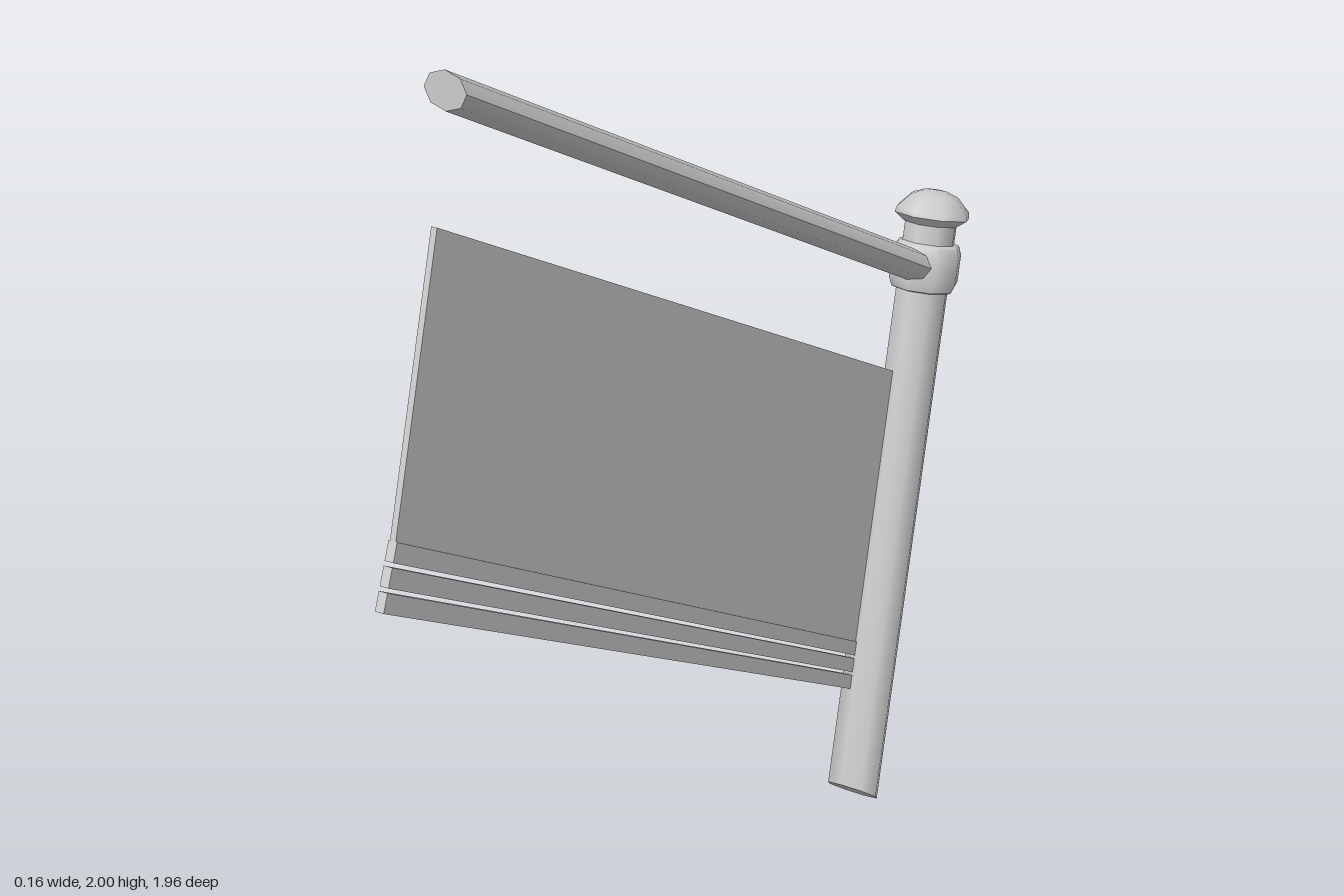
import * as THREE from 'three';
import { toCreasedNormals } from 'three/addons/utils/BufferGeometryUtils.js';

const SLOPE = 0.515;   // rise of the stair railing per unit of z
const TILT = -0.238;   // backward lean of the post
const PANEL_X = -0.021;

const grey = new THREE.MeshStandardMaterial({ color: 0xcccccc });

function part(name, geometry) {
  const mesh = new THREE.Mesh(geometry, grey);
  mesh.name = name;
  return mesh;
}

// Flat slab whose side outline is given as [z, y] corners
function slab(name, corners, thickness) {
  const shape = new THREE.Shape(corners.map(([z, y]) => new THREE.Vector2(z, y)));
  const geo = new THREE.ExtrudeGeometry(shape, { depth: thickness, bevelEnabled: false });
  geo.translate(0, 0, -thickness / 2).rotateY(-Math.PI / 2).translate(PANEL_X, 0, 0);
  return part(name, geo);
}

// Eight-sided turned piece from [radius, height] pairs
function turned(profile) {
  return new THREE.LatheGeometry(profile.map(([r, y]) => new THREE.Vector2(r, y)), 8);
}

function createPost() {
  const post = new THREE.Group();
  post.name = 'post';

  // Shaft with a slanted foot
  const shaft = turned([[0, 0], [0.055, 0], [0.055, 1.22], [0, 1.22]]);
  const p = shaft.attributes.position;
  for (let i = 0; i < p.count; i++) {
    if (p.getY(i) < 0.5) p.setY(i, 0.4 * p.getZ(i));
  }
  const collar = turned([[0.05, 1.062], [0.065, 1.066], [0.073, 1.085], [0.073, 1.14], [0.066, 1.158], [0.05, 1.164]]);
  const cap = turned([[0.045, 1.195], [0.06, 1.203], [0.079, 1.217], [0.077, 1.228], [0.05, 1.256], [0.025, 1.266], [0, 1.268]]);

  post.add(
    part('postShaft', toCreasedNormals(shaft, 0.9)),
    part('postCollar', toCreasedNormals(collar, 0.9)),
    part('postCap', toCreasedNormals(cap, 0.9)),
  );
  post.position.set(0, 0.04, -0.608);
  post.rotation.x = TILT;
  return post;
}

// Sloping handrail with upright end cuts
function createHandrail() {
  const zBack = -0.84, zFront = 0.785;
  const geo = new THREE.CylinderGeometry(1, 1, zFront - zBack, 8);
  geo.rotateX(Math.PI / 2).scale(0.043, 0.036, 1).translate(0, 0, (zFront + zBack) / 2);
  const p = geo.attributes.position;
  for (let i = 0; i < p.count; i++) {
    p.setY(i, p.getY(i) + 1.965 + SLOPE * (p.getZ(i) - zFront));
  }
  return part('handrail', toCreasedNormals(geo, 0.9));
}

export function createModel() {
  const model = new THREE.Group();
  model.name = 'stairRailing';
  model.add(createPost(), createHandrail());

  // Infill panel between post and front edge
  model.add(slab('panel', [[0.94, 1.21], [0.797, 1.727], [-0.785, 0.915], [-0.648, 0.362]], 0.012));

  // Three thin strips below the panel
  const front = (f) => [0.94 + 0.045 * f, 1.21 - 0.115 * f];
  const back = (f) => [-0.645 + 0.02 * f, 0.364 - 0.1 * f];
  for (const f of [0, 0.355, 0.71]) {
    const g = f + 0.29;
    model.add(slab('strip', [front(f), back(f), back(g), front(g)], 0.018));
  }
  return model;
}
